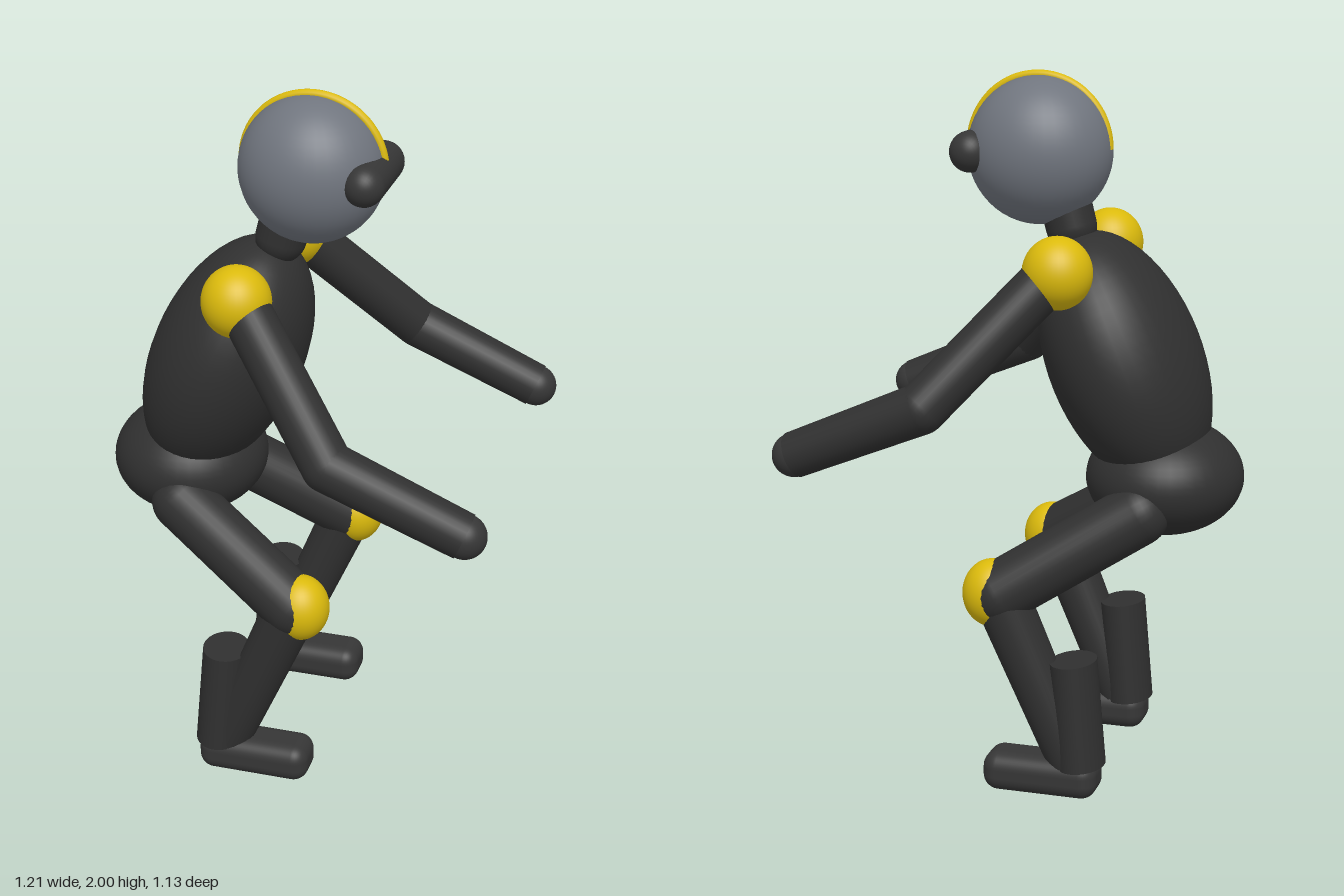
import * as THREE from 'three';
import { RoundedBoxGeometry } from 'three/addons/geometries/RoundedBoxGeometry.js';

const material = (name, color) => {
  const m = new THREE.MeshStandardMaterial({ color });
  m.name = name;
  return m;
};

export function createModel() {
  const suit = material('dark suit', 0x303030);
  const gear = material('dark gear', 0x363636);
  const helmet = material('helmet grey', 0x70757e);
  const pad = material('pad yellow', 0xdbba0c);

  const model = new THREE.Group();
  model.name = 'crouchingFigure';
  const v = (p) => new THREE.Vector3(...p);

  const add = (parent, name, geometry, mat, position = [0, 0, 0]) => {
    const mesh = new THREE.Mesh(geometry, mat);
    mesh.name = name;
    mesh.position.set(...position);
    parent.add(mesh);
    return mesh;
  };

  const ellipsoid = (parent, name, center, radii, mat) => {
    const g = new THREE.SphereGeometry(1, 40, 28).scale(...radii);
    return add(parent, name, g, mat, center);
  };

  // Turns a shape's y axis along the line from a to b
  const along = (parent, name, geometry, a, b, mat) => {
    const mesh = add(parent, name, geometry, mat);
    mesh.position.copy(v(a)).lerp(v(b), 0.5);
    const dir = v(b).sub(v(a)).normalize();
    mesh.quaternion.setFromUnitVectors(new THREE.Vector3(0, 1, 0), dir);
    return mesh;
  };
  const length = (a, b) => v(a).distanceTo(v(b));
  const capsule = (parent, name, a, b, r, mat) =>
    along(parent, name, new THREE.CapsuleGeometry(r, length(a, b), 10, 28), a, b, mat);
  const tapered = (parent, name, a, b, ra, rb, mat) =>
    along(parent, name, new THREE.CylinderGeometry(rb, ra, length(a, b), 28), a, b, mat);

  // Trunk, leaning towards +x
  const torso = ellipsoid(model, 'torso', [-0.265, 1.2, 0], [0.212, 0.38, 0.277], suit);
  torso.rotation.z = -0.4;
  ellipsoid(model, 'hips', [-0.383, 0.873, 0], [0.223, 0.163, 0.236], suit);
  capsule(model, 'neck', [-0.105, 1.57, 0], [-0.085, 1.65, 0], 0.072, suit);

  // Helmet with crest and visor
  ellipsoid(model, 'helmet', [-0.015, 1.78, 0], [0.205, 0.207, 0.187], helmet);
  add(model, 'crest', new THREE.TorusGeometry(0.2, 0.013, 12, 48, Math.PI), pad, [-0.012, 1.787, 0]);
  capsule(model, 'visor', [0.157, 1.78, -0.103], [0.157, 1.78, 0.103], 0.058, gear);

  // Limbs, the same on both sides
  for (const [side, s] of [['left', -1], ['right', 1]]) {
    const limb = new THREE.Group();
    limb.name = side === 'left' ? 'limbsAtBack' : 'limbsAtFront';
    model.add(limb);

    // Arm
    const shoulder = [-0.13, 1.48, s * 0.28];
    const elbow = [0.17, 1.14, s * 0.495];
    const wrist = [0.54, 0.985, s * 0.488];
    ellipsoid(limb, 'shoulderPad', [-0.145, 1.485, s * 0.28], [0.096, 0.1, 0.096], pad);
    capsule(limb, 'upperArm', shoulder, elbow, 0.07, suit);
    tapered(limb, 'forearm', elbow, wrist, 0.07, 0.064, suit);
    ellipsoid(limb, 'hand', wrist, [0.061, 0.061, 0.06], gear);

    // Leg
    const hip = [-0.35, 0.805, s * 0.185];
    const knee = [0.015, 0.582, s * 0.3];
    const ankle = [-0.19, 0.1, s * 0.28];
    capsule(limb, 'thigh', hip, knee, 0.088, suit);
    ellipsoid(limb, 'kneePad', [0.035, 0.58, s * 0.3], [0.084, 0.096, 0.084], pad);
    tapered(limb, 'shin', knee, ankle, 0.078, 0.068, suit);

    // Oval guard around the lower leg
    const guard = add(limb, 'calfGuard', new THREE.CylinderGeometry(0.066, 0.068, 0.308, 32),
      suit, [-0.206, 0.244, s * 0.28]);
    guard.scale.z = 1.24;
    guard.rotation.z = -0.08;

    // Foot
    add(limb, 'foot', new RoundedBoxGeometry(0.33, 0.113, 0.14, 5, 0.045),
      gear, [-0.105, 0.0565, s * 0.28]);
  }
  return model;
}
